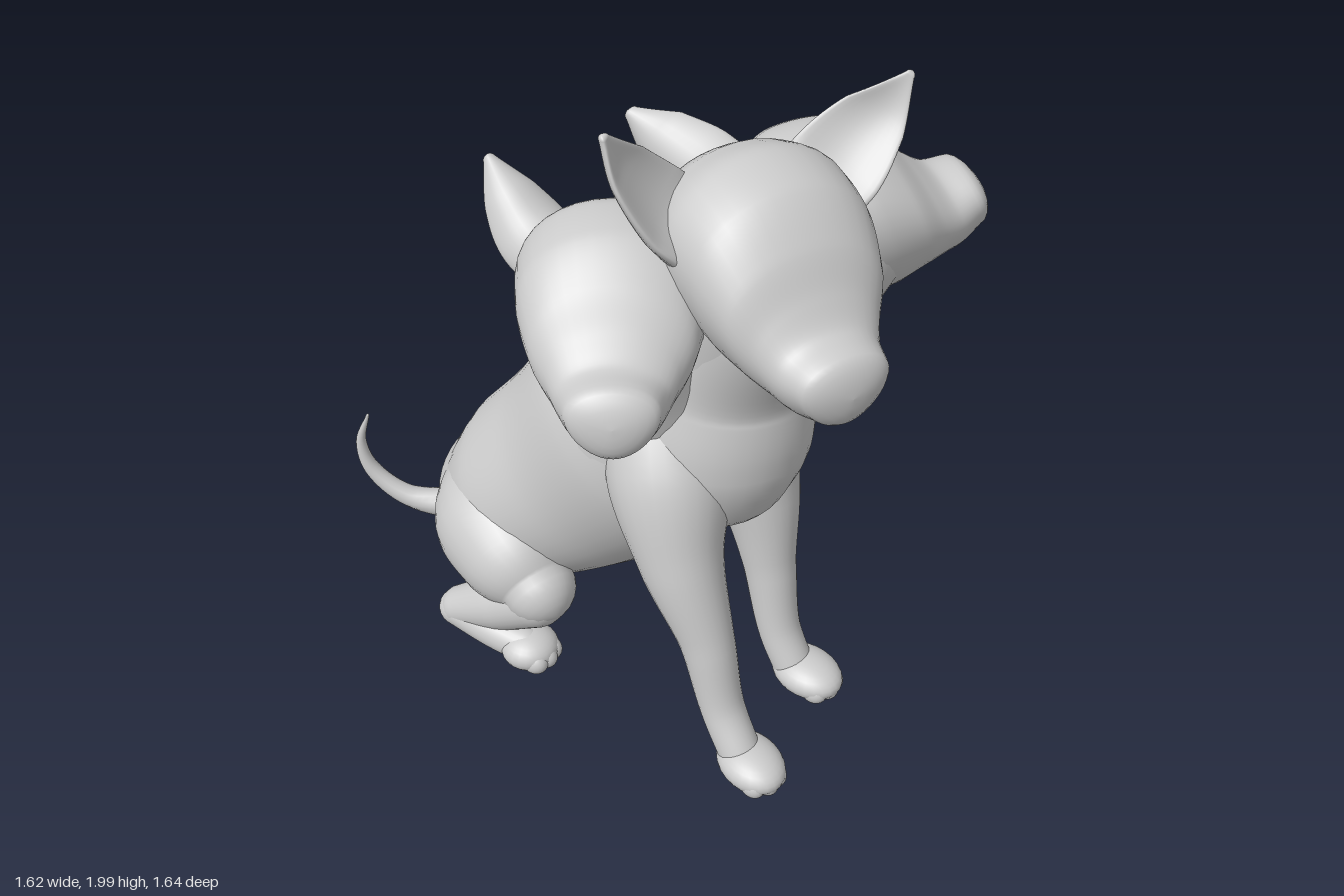
import * as THREE from 'three';

const material = new THREE.MeshStandardMaterial({ color: 0xcccccc, side: THREE.DoubleSide });

// Smooth tube through stations [x, y, z, halfWidth, halfDepth] with domed ends.
// side: direction of the width; cup: bends the cross-section into a hollow;
// axis: keeps all rings facing one way; taper: widens the top of each ring.
function loft(name, stations, { side = [1, 0, 0], cup = 0, dome = 1, seg = 28, axis, taper = 0 } = {}) {
  const sideV = new THREE.Vector3(...side);
  const path = new THREE.CatmullRomCurve3(stations.map(s => new THREE.Vector3(s[0], s[1], s[2])));
  const size = new THREE.CatmullRomCurve3(stations.map(s => new THREE.Vector3(s[3], s[4] ?? s[3], 0)));
  const rings = [];
  const n = (stations.length - 1) * 8, caps = 6;
  const ring = (t, a, sign) => {
    const c = path.getPoint(t), r = size.getPoint(t);
    const tan = axis ? new THREE.Vector3(...axis) : path.getTangent(t);
    const reach = Math.min(r.x, r.y) * dome * Math.sin(a) * sign;
    rings.push({ c: c.addScaledVector(tan, reach), tan, r: r.multiplyScalar(Math.max(Math.cos(a), 0.001)) });
  };
  for (let k = caps; k > 0; k--) ring(0, (k / caps) * Math.PI / 2, -1);
  for (let i = 0; i <= n; i++) ring(i / n, 0, 1);
  for (let k = 1; k <= caps; k++) ring(1, (k / caps) * Math.PI / 2, 1);

  const pos = [], index = [];
  rings.forEach(({ c, tan, r }, i) => {
    const u = sideV.clone().addScaledVector(tan, -sideV.dot(tan)).normalize();
    const v = tan.clone().cross(u);
    for (let j = 0; j < seg; j++) {
      const a = (j / seg) * Math.PI * 2, cos = Math.cos(a), sin = Math.sin(a);
      const p = c.clone().addScaledVector(u, cos * r.x * (1 + taper * sin))
        .addScaledVector(v, sin * r.y + cup * cos * cos * r.x);
      pos.push(p.x, p.y, p.z);
      if (i < rings.length - 1) {
        const A = i * seg + j, B = i * seg + (j + 1) % seg;
        index.push(A, B, A + seg, B, B + seg, A + seg);
      }
    }
  });
  const g = new THREE.BufferGeometry();
  g.setAttribute('position', new THREE.Float32BufferAttribute(pos, 3));
  g.setIndex(index);
  g.computeVertexNormals();
  const mesh = new THREE.Mesh(g, material);
  mesh.name = name;
  return mesh;
}

function ellipsoid(name, [x, y, z], [a, b, c]) {
  const mesh = new THREE.Mesh(new THREE.SphereGeometry(1, 24, 16), material);
  mesh.name = name;
  mesh.position.set(x, y, z);
  mesh.scale.set(a, b, c);
  return mesh;
}

// Paw pointing along its own +z, with faint toes
function makePaw(name, [x, y, z], yaw, length = 0.12) {
  const paw = new THREE.Group();
  paw.name = name;
  paw.add(ellipsoid('pad', [0, 0, 0], [0.09, 0.06, length]));
  for (const i of [-1, 0, 1]) {
    paw.add(ellipsoid('toe', [i * 0.036, -0.012, length * (i ? 0.5 : 0.6)], [0.036, 0.04, 0.045]));
  }
  paw.position.set(x, y, z);
  paw.rotation.y = yaw;
  return paw;
}

// Skull and muzzle along +z, origin in the middle of the skull
function makeHead(name, position, yaw, pitch, scale) {
  const head = new THREE.Group();
  head.name = name;
  head.add(loft('skull', [
    [0, 0.02, -0.27, 0.08, 0.08], [0, 0.02, -0.22, 0.165, 0.165], [0, 0.01, -0.12, 0.235, 0.245],
    [0, 0, 0, 0.26, 0.285], [0, -0.02, 0.13, 0.25, 0.27], [0, -0.07, 0.235, 0.218, 0.212],
    [0, -0.122, 0.295, 0.175, 0.162], [0, -0.157, 0.35, 0.145, 0.127], [0, -0.155, 0.415, 0.125, 0.105],
  ], { dome: 0.5, seg: 40, axis: [0, 0, 1], taper: 0.22 }));
  head.add(ellipsoid('nose', [0, -0.105, 0.43], [0.048, 0.032, 0.028]));
  for (const s of [-1, 1]) {
    head.add(ellipsoid('brow', [s * 0.11, 0.005, 0.205], [0.08, 0.05, 0.04]));
  }
  head.position.set(...position);
  head.rotation.set(-pitch, yaw, 0, 'YXZ');
  head.scale.setScalar(scale);
  return head;
}

export function createModel() {
  const model = new THREE.Group();
  model.name = 'threeHeadedDog';
  const across = [0.83, 0, -0.55]; // the body sits turned, rump towards -x -z

  // Torso flowing into the middle neck
  model.add(loft('torsoAndMiddleNeck', [
    [-0.39, 0.31, -0.48, 0.28, 0.25], [-0.33, 0.43, -0.36, 0.335, 0.31], [-0.22, 0.60, -0.20, 0.335, 0.35],
    [-0.10, 0.82, -0.04, 0.375, 0.39], [-0.02, 1.02, 0.07, 0.37, 0.36],
    [0, 1.25, 0.19, 0.28, 0.28], [0, 1.50, 0.32, 0.23, 0.23],
  ], { side: across, dome: 0.8, seg: 44 }));
  model.add(loft('chest', [
    [-0.05, 0.68, 0.16, 0.10, 0.10], [-0.05, 0.80, 0.20, 0.235, 0.23], [-0.04, 0.94, 0.22, 0.28, 0.255],
    [-0.01, 1.15, 0.225, 0.265, 0.235], [0, 1.40, 0.33, 0.21, 0.2],
  ], { seg: 36 }));

  // Side necks leaving the torso gradually
  model.add(loft('leftNeck', [
    [-0.20, 0.58, -0.17, 0.27], [-0.09, 0.80, -0.05, 0.335], [0.02, 1.0, -0.005, 0.33],
    [0.14, 1.20, 0.04, 0.31], [0.31, 1.43, 0.11, 0.275],
  ], { side: [0, 0, 1], seg: 40 }));
  model.add(loft('rightNeck', [
    [-0.22, 0.58, -0.16, 0.25], [-0.155, 0.82, 0.0, 0.30], [-0.145, 1.02, 0.05, 0.29],
    [-0.20, 1.20, 0.09, 0.28], [-0.31, 1.41, 0.16, 0.25],
  ], { side: [0, 0, 1], seg: 40 }));

  // Heads: position, yaw, pitch, scale
  model.add(makeHead('middleHead', [0.005, 1.58, 0.35], 0, 0, 1));
  model.add(makeHead('leftHead', [0.325, 1.45, 0.12], 1.40, 0.38, 0.98));
  model.add(makeHead('rightHead', [-0.325, 1.425, 0.175], -0.46, 0.2, 0.95));

  // Cupped ears
  model.add(loft('middleHeadRightEar', [
    [-0.17, 1.63, 0.28, 0.12, 0.07], [-0.265, 1.74, 0.28, 0.12, 0.035],
    [-0.345, 1.87, 0.28, 0.08, 0.022], [-0.395, 1.985, 0.30, 0.014, 0.012],
  ], { side: [1, 0, -0.7], cup: -0.4 }));
  model.add(loft('middleHeadLeftEar', [
    [0.17, 1.63, 0.28, 0.12, 0.07], [0.28, 1.73, 0.28, 0.125, 0.035],
    [0.38, 1.84, 0.28, 0.09, 0.022], [0.455, 1.95, 0.31, 0.014, 0.012],
  ], { side: [1, 0, 0.7], cup: -0.4 }));
  model.add(loft('leftHeadEar', [
    [0.17, 1.48, -0.04, 0.11, 0.08], [0.10, 1.51, -0.18, 0.13, 0.04],
    [0.045, 1.56, -0.30, 0.10, 0.025], [0.005, 1.615, -0.39, 0.025, 0.012],
  ], { side: [0.3, 1, 0], cup: 0.4 }));
  model.add(loft('rightHeadEar', [
    [-0.40, 1.49, 0.05, 0.10, 0.07], [-0.44, 1.55, -0.06, 0.105, 0.035],
    [-0.465, 1.62, -0.15, 0.075, 0.025], [-0.48, 1.68, -0.24, 0.018, 0.012],
  ], { side: [1, 0.3, 0], cup: 0.4 }));

  // Front legs
  model.add(loft('rightFrontLeg', [
    [-0.15, 1.10, 0.12, 0.16], [-0.21, 0.88, 0.26, 0.18], [-0.24, 0.66, 0.38, 0.125],
    [-0.215, 0.42, 0.49, 0.08], [-0.20, 0.20, 0.56, 0.065], [-0.185, 0.08, 0.64, 0.062],
  ]));
  model.add(makePaw('rightFrontPaw', [-0.17, 0.065, 0.68], 0.1));
  model.add(loft('leftFrontLeg', [
    [0.02, 1.10, 0.02, 0.16], [0.06, 0.88, 0.14, 0.18], [0.095, 0.66, 0.23, 0.125],
    [0.10, 0.42, 0.30, 0.08], [0.105, 0.20, 0.36, 0.065], [0.125, 0.08, 0.42, 0.062],
  ]));
  model.add(makePaw('leftFrontPaw', [0.15, 0.075, 0.46], 0.3));

  // Folded hind legs
  model.add(loft('rightThigh', [
    [-0.43, 0.36, -0.46, 0.20], [-0.49, 0.36, -0.31, 0.225], [-0.51, 0.32, -0.15, 0.18],
    [-0.50, 0.28, -0.06, 0.115],
  ], { side: [0, 1, 0] }));
  model.add(loft('rightShin', [
    [-0.51, 0.25, -0.05, 0.095], [-0.59, 0.17, -0.16, 0.09], [-0.68, 0.10, -0.27, 0.065],
  ]));
  model.add(loft('rightHindFoot', [
    [-0.69, 0.09, -0.28, 0.06], [-0.62, 0.08, -0.14, 0.06], [-0.56, 0.07, -0.05, 0.06],
  ]));
  model.add(makePaw('rightHindPaw', [-0.55, 0.065, -0.04], 0.5, 0.09));
  model.add(loft('leftThigh', [
    [-0.22, 0.34, -0.56, 0.17], [-0.13, 0.37, -0.525, 0.185], [-0.07, 0.40, -0.49, 0.145],
  ], { side: [0, 1, 0] }));
  model.add(loft('leftShin', [
    [-0.065, 0.40, -0.51, 0.115], [-0.12, 0.27, -0.56, 0.11], [-0.21, 0.15, -0.62, 0.085],
    [-0.29, 0.09, -0.66, 0.06],
  ], { side: [0, 0, 1] }));
  model.add(loft('leftHindFoot', [
    [-0.30, 0.09, -0.65, 0.06], [-0.21, 0.08, -0.60, 0.06], [-0.13, 0.07, -0.55, 0.06],
  ], { side: [0, 1, 0] }));
  model.add(makePaw('leftHindPaw', [-0.13, 0.065, -0.55], 0.9, 0.09));

  // Thin upturned tail
  model.add(loft('tail', [
    [-0.50, 0.17, -0.62, 0.06], [-0.68, 0.21, -0.72, 0.036], [-0.77, 0.31, -0.79, 0.026],
    [-0.79, 0.42, -0.805, 0.017], [-0.765, 0.54, -0.775, 0.005],
  ], { seg: 14 }));

  return model;
}
